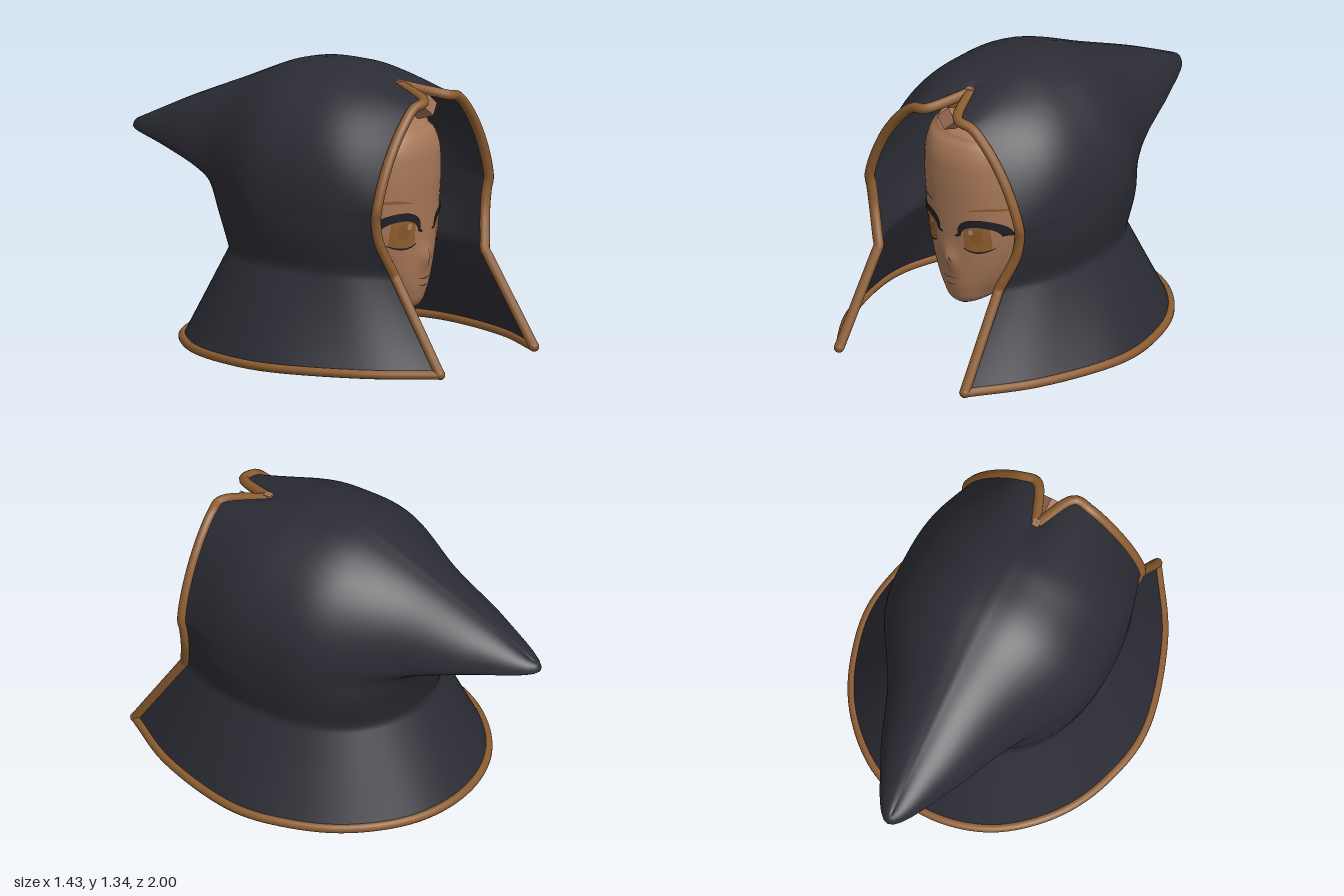
import * as THREE from 'three';
import { mergeVertices } from 'three/addons/utils/BufferGeometryUtils.js';

const V = (x, y, z) => new THREE.Vector3(x, y, z);
const mat = (name, color, side = THREE.FrontSide) => {
  const m = new THREE.MeshStandardMaterial({ color, side });
  m.name = name;
  return m;
};

// Surface from a rule f(u, v) -> Vector3; faces point along u x v
function grid(nu, nv, f) {
  const pos = [], idx = [];
  for (let j = 0; j <= nv; j++)
    for (let i = 0; i <= nu; i++) pos.push(...f(i / nu, j / nv).toArray());
  for (let j = 0; j < nv; j++)
    for (let i = 0; i < nu; i++) {
      const a = j * (nu + 1) + i, b = a + nu + 1;
      idx.push(a, a + 1, b, a + 1, b + 1, b);
    }
  let g = new THREE.BufferGeometry();
  g.setAttribute('position', new THREE.Float32BufferAttribute(pos, 3));
  g.setIndex(idx);
  g = mergeVertices(g, 1e-4);
  g.computeVertexNormals();
  return g;
}

// ---- Hood: control columns run from the front rim (0) to the back centre (6)
const hem = [[.375, .975], [.57, .66], [.69, .25], [.65, -.06], [.52, -.32], [.29, -.52], [0, -.59]];
const neck = [[.36, .71], [.46, .46], [.485, .2], [.455, -.02], [.36, -.2], [.2, -.32], [0, -.37]];
const cheek = [[.425, .665], [.505, .43], [.523, .2], [.495, -.02], [.39, -.23], [.22, -.37], [0, -.425]];
const under = [[.443, .72, .663], [.512, .72, .43], [.53, .72, .2], [.507, .72, -.03], [.36, .73, -.28], [.185, .78, -.48], [0, .8, -.53]];
const wide = [[.447, .76, .67], [.514, .78, .43], [.532, .8, .2], [.503, .8, -.05], [.325, .83, -.37], [.185, .865, -.71], [0, .885, -1]];
const crest = [[1.258, .49], [1.315, .35], [1.34, .2], [1.322, -.05], [1.185, -.39], [1.05, -.71], [.925, -.965]];
const SKIRT = 1 / 4; // share of each column below the neck crease

function hoodColumn(s) {
  const bottom = V(hem[s][0], .022, hem[s][1]);
  const crease = V(neck[s][0], .45, neck[s][1]);
  const pts = [crease, V(cheek[s][0], .62, cheek[s][1]), V(...under[s]), V(...wide[s])];
  const [w, ym, zm] = wide[s], [yc, zc] = crest[s];
  for (const t of [.15, .3, .45, .6, .74, .86, 1]) {
    const a = t * Math.PI / 2, front = s === 0;
    const up = Math.pow(Math.sin(a), front ? 1.5 : 1);
    // the front rim leans forward, then notches back at the peak
    const z = front ? (t === 1 ? zc : zm + .022 * t) : zm + (zc - zm) * t * t;
    const dip = front && t === .86 ? .022 : 0;
    pts.push(V(t === 1 ? 0 : w * Math.cos(a), ym + (yc - ym) * up - dip, z));
  }
  const upper = new THREE.CatmullRomCurve3(pts);
  return v => v < SKIRT ? bottom.clone().lerp(crease, v / SKIRT) : upper.getPoint((v - SKIRT) / (1 - SKIRT));
}

// ---- Head: half width, front, middle and back depth by height
const headY = [.207, .235, .3, .4, .5, .6, .72, .88, 1, 1.06, 1.095, 1.112];
const headRows = [
  .01, .53, .48, .43, .078, .575, .44, .34, .142, .605, .35, .2, .21, .62, .28, .08,
  .26, .628, .22, -.02, .289, .634, .2, -.1, .303, .64, .2, -.16, .31, .645, .2, -.18,
  .302, .63, .2, -.15, .27, .59, .2, -.1, .2, .51, .2, 0, .01, .22, .2, .18,
];
const headSpline = new THREE.CubicInterpolant(headY, headRows, 4);
const POWER = 2.4;
const nose = (x, y) => .03 * Math.exp(-((x / .03) ** 2) - ((y - .47) / .05) ** 2);

function faceZ(x, y) {
  const [w, zf, zc] = headSpline.evaluate(y);
  const r = Math.min(1, Math.abs(x / w));
  return zc + (zf - zc) * Math.pow(1 - Math.pow(r, POWER), 1 / POWER) + nose(x, y);
}

function headPoint(u, v) {
  const y = .207 + .905 * (1 - Math.cos(Math.PI * v)) / 2;
  const [w, zf, zc, zb] = headSpline.evaluate(y);
  const a = u * Math.PI * 2, s = Math.sin(a), c = Math.cos(a);
  const x = w * Math.sign(s) * Math.pow(Math.abs(s), 2 / POWER);
  const d = Math.pow(Math.abs(c), 2 / POWER);
  return c >= 0 ? V(x, y, zc + (zf - zc) * d + nose(x, y)) : V(x, y, zc - (zc - zb) * d);
}

export function createModel() {
  const model = new THREE.Group();
  const cloth = mat('dark cloth', 0x2c2c35, THREE.DoubleSide);
  const trim = mat('bronze trim', 0x8c5c30);
  const skin = mat('skin', 0xa87858);
  const copper = mat('copper', 0xa4745a);
  const ink = mat('lash black', 0x1f1f27, THREE.DoubleSide);
  const iris = mat('amber iris', 0x946030, THREE.DoubleSide);
  const pupilMat = mat('deep amber', 0x8a5829, THREE.DoubleSide);
  const glint = mat('eye glint', 0xa58a70, THREE.DoubleSide);
  const add = (name, geo, m, parent = model) => {
    const mesh = new THREE.Mesh(geo, m);
    mesh.name = name;
    parent.add(mesh);
    return mesh;
  };

  // Hood with cape and long pointed back
  const half = [0, 1, 2, 3, 4, 5, 6].map(hoodColumn);
  const NV = 72, NU = 84;
  const rows = [];
  for (let j = 0; j <= NV; j++) {
    const left = half.map(column => column(j / NV));
    const right = left.slice(0, 6).reverse().map(p => V(-p.x, p.y, p.z));
    rows.push(new THREE.CatmullRomCurve3([...left, ...right], false, 'catmullrom', .5));
  }
  add('hood', grid(NU, NV, (u, v) => rows[Math.round(v * NV)].getPoint(u)), cloth);

  // Trim along the face opening and the hem
  const edge = [];
  for (let j = 0; j <= 64; j++) edge.push(half[0](j / 64));
  const rim = [...edge, ...edge.slice(0, -1).reverse().map(p => V(-p.x, p.y, p.z))];
  add('rimTrim', new THREE.TubeGeometry(new THREE.CatmullRomCurve3(rim), 200, .024, 10), trim);
  add('hemTrim', new THREE.TubeGeometry(rows[0], 120, .021, 10), trim);
  for (const s of [-1, 1])
    add('trimEnd', new THREE.SphereGeometry(.024, 10, 8), trim).position.set(s * .375, .024, .975);

  // Peak ornament
  const gem = add('peakGem', new THREE.BoxGeometry(.074, .074, .09), copper);
  gem.rotation.set(-.3, 0, Math.PI / 4);
  gem.position.set(0, 1.172, .615);
  add('peakStud', new THREE.BoxGeometry(.034, .024, .034), copper).position.set(0, 1.268, .49);

  // Head and skull cap
  add('head', grid(72, 56, headPoint), skin);
  const cap = add('skullCap', new THREE.SphereGeometry(1, 32, 12, 0, Math.PI * 2, 0, Math.PI / 2), trim);
  cap.scale.set(.25, .165, .22);
  cap.position.set(0, 1.08, .28);

  // Ears
  for (const s of [-1, 1]) {
    const ear = new THREE.Group();
    ear.name = s > 0 ? 'leftEar' : 'rightEar';
    ear.position.set(s * .315, .58, .2);
    ear.rotation.z = -s * .08;
    add('earShell', new THREE.SphereGeometry(1, 20, 14), skin, ear).scale.set(.034, .105, .065);
    const inner = add('earInner', new THREE.SphereGeometry(1, 16, 12), trim, ear);
    inner.scale.set(.022, .07, .04);
    inner.position.set(s * .014, 0, .028);
    model.add(ear);
  }

  // Thin face details laid on the face: f(u, v) -> [x, y] on the left side
  const patch = (name, m, f, lift, s = 1) => add(name, grid(28, 6, (u, v) => {
    const [x, y] = f(s > 0 ? u : 1 - u, v);
    return V(s * x, y, faceZ(s * x, y) + lift);
  }), m);
  const disc = (cx, cy, rx, ry, p) => (u, v) => {
    const a = Math.PI * (1 - u), c = Math.cos(a), s = Math.sin(a);
    return [cx + rx * Math.sign(c) * Math.pow(Math.abs(c), 2 / p),
      cy + ry * (2 * v - 1) * Math.pow(Math.abs(s), 2 / p)];
  };
  // Stroke bowed by "bow", tapering towards its ends
  const stroke = (x0, y0, x1, y1, bow, thick) => (u, v) => {
    const k = Math.sin(Math.PI * u);
    return [x0 + (x1 - x0) * u, y0 + (y1 - y0) * u + bow * Math.pow(k, .8) + thick * (v - .5) * (.35 + .65 * k)];
  };
  // Upper lash: half an oval band, thicker towards the outer corner
  const lash = (u, v) => {
    const a = Math.PI * (1 - u), thick = .012 + .024 * Math.sin(Math.PI * Math.pow(u, 1.0)) + .01 * u;
    const r = 1 + (v - .5) * thick / .075;
    return [.148 + .088 * r * Math.cos(a), .605 + .07 * r * Math.pow(Math.sin(a), .85)];
  };
  for (const s of [-1, 1]) {
    patch('iris', iris, disc(.135, .592, .055, .067, 5), .003, s);
    patch('pupil', pupilMat, disc(.135, .605, .028, .036, 2.5), .005, s);
    patch('upperLash', ink, lash, .007, s);
    patch('lashTip', ink, stroke(.035, .597, .068, .606, 0, .012), .006, s);
    patch('lashWing', ink, stroke(.222, .628, .254, .607, .004, .034), .006, s);
    patch('lowerLash', ink, stroke(.075, .545, .2, .545, -.022, .009), .006, s);
    patch('eyebrow', trim, stroke(.105, .735, .275, .735, .012, .014), .004, s);
  }
  for (const x of [-.115, .115]) patch('eyeGlint', glint, disc(x, .628, .011, .015, 2), .007);
  patch('noseLine', ink, stroke(.008, .487, .022, .458, 0, .009), .003);
  patch('mouth', trim, stroke(-.045, .372, .045, .372, -.004, .008), .004);
  patch('lowerLip', trim, stroke(-.03, .336, .03, .336, -.003, .006), .004);

  return model;
}
